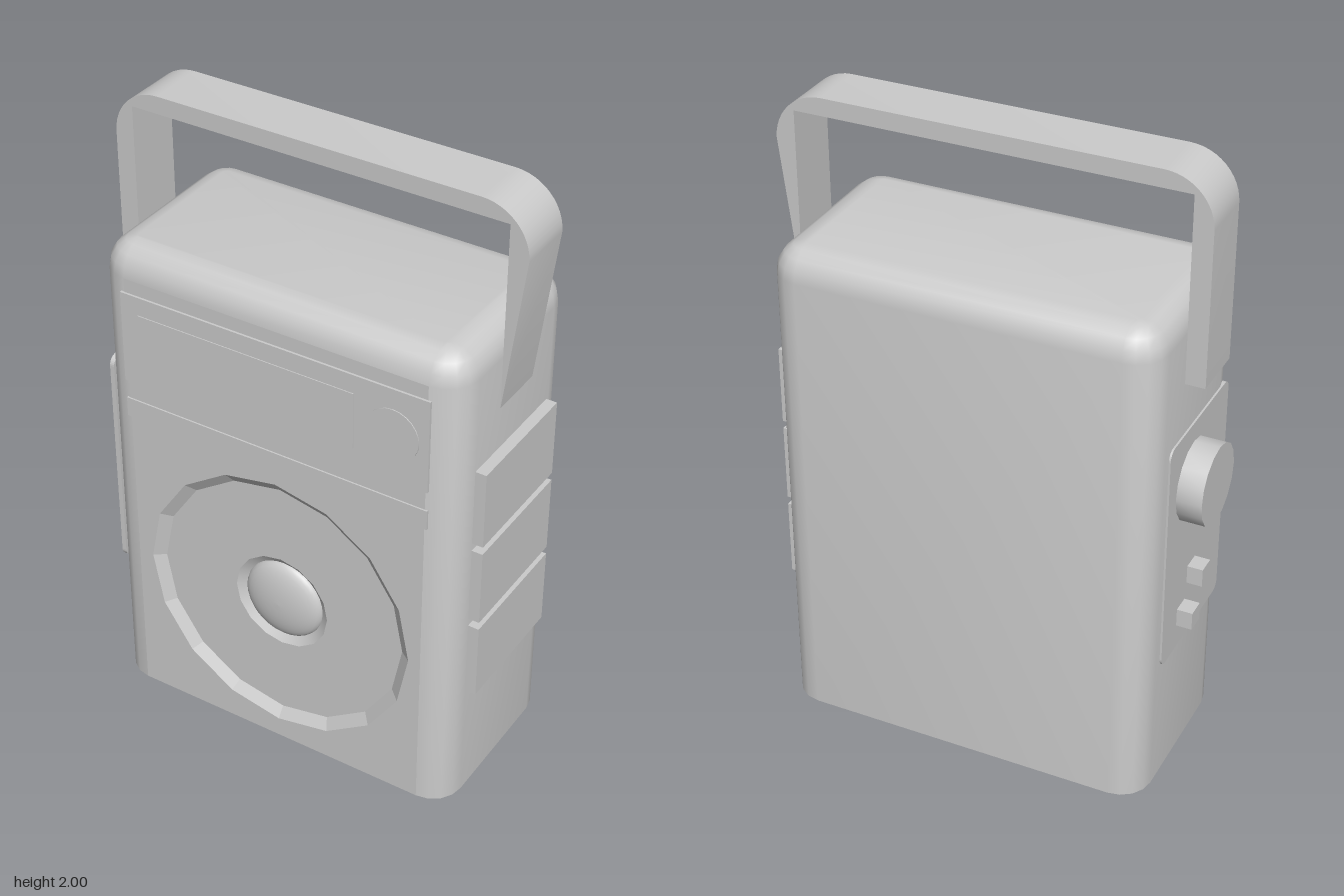
import * as THREE from 'three';
import { toCreasedNormals } from 'three/addons/utils/BufferGeometryUtils.js';

const CX = 0.005, CZ = -0.008;        // body centre
const HX = 0.605, HZ = 0.312, R = 0.1; // body half sizes and corner radius
const SHOULDER = 1.52, FRONT = CZ + HZ;
const mat = new THREE.MeshStandardMaterial({ color: 0xcccccc, side: THREE.DoubleSide });
const flat = new THREE.MeshStandardMaterial({ color: 0xcccccc, side: THREE.DoubleSide, flatShading: true });

export function createModel() {
  const model = new THREE.Group();
  const add = (name, geometry, x = 0, y = 0, z = 0, material = mat) => {
    const mesh = new THREE.Mesh(geometry, material);
    mesh.name = name;
    mesh.position.set(x, y, z);
    model.add(mesh);
    return mesh;
  };
  // box given by its limits
  const box = (name, x0, x1, y0, y1, z0, z1) =>
    add(name, new THREE.BoxGeometry(x1 - x0, y1 - y0, z1 - z0), (x0 + x1) / 2, (y0 + y1) / 2, (z0 + z1) / 2);

  // rounded rectangle seen from above, starting at the front left corner
  const outline = (inset) => {
    const pts = [], steps = 4, r = R - inset;
    [[1, 1], [1, -1], [-1, -1], [-1, 1]].forEach(([sx, sz], c) => {
      for (let i = 0; i <= steps; i++) {
        const t = (c + i / steps) * Math.PI / 2;
        pts.push([CX + sx * (HX - R) + r * Math.sin(t), CZ + sz * (HZ - R) + r * Math.cos(t)]);
      }
    });
    return pts;
  };

  // body shell: straight walls, rounded shoulder, flat top and bottom
  const rings = [[0, 0]];
  for (let i = 0; i <= 4; i++) {
    const a = i / 4 * Math.PI / 2;
    rings.push([SHOULDER + 0.093 * Math.sin(a), 0.085 * (1 - Math.cos(a))]);
  }
  const pos = [], idx = [], n = outline(0).length;
  for (const [y, inset] of rings) for (const [x, z] of outline(inset)) pos.push(x, y, z);
  for (let k = 0; k < rings.length - 1; k++) {
    for (let j = 0; j < n; j++) {
      if (k === 0 && j === n - 1) continue; // the front panel closes this side
      const a = k * n + j, b = k * n + (j + 1) % n;
      idx.push(a, b, b + n, a, b + n, a + n);
    }
  }
  const top = (rings.length - 1) * n;
  for (let j = 1; j < n - 1; j++) {
    idx.push(top, top + j, top + j + 1);
    idx.push(0, j + 1, j);
  }
  const shell = new THREE.BufferGeometry();
  shell.setAttribute('position', new THREE.Float32BufferAttribute(pos, 3));
  shell.setIndex(idx);
  add('bodyShell', toCreasedNormals(shell, 0.7));

  // front panel with a hole for the speaker
  const SX = 0.01, SY = 0.528, SR = 0.46, SIDES = 16;
  const x0 = CX - HX + R, x1 = CX + HX - R;
  const panel = new THREE.Shape([[x0, 0], [x1, 0], [x1, SHOULDER], [x0, SHOULDER]].map(p => new THREE.Vector2(...p)));
  const hole = [];
  for (let i = 0; i < SIDES; i++) {
    const a = i / SIDES * Math.PI * 2;
    hole.push(new THREE.Vector2(SX + SR * Math.sin(a), SY + SR * Math.cos(a)));
  }
  panel.holes.push(new THREE.Path(hole));
  add('frontPanel', new THREE.ShapeGeometry(panel), 0, 0, FRONT);

  // speaker: faceted recess and a domed centre in its own groove
  const dish = (points, sides) =>
    new THREE.LatheGeometry(points.map(p => new THREE.Vector2(...p)), sides).rotateX(Math.PI / 2);
  add('speakerRecess', dish([[SR, 0], [0.425, -0.025], [0.163, -0.025]], SIDES), SX, SY, FRONT, flat);
  add('speakerGroove', dish([[0.165, -0.025], [0.135, -0.045]], 32), SX, SY, FRONT);
  const dome = [];
  for (let i = 0; i <= 8; i++) {
    const a = i / 8 * Math.PI / 2;
    dome.push([0.135 * Math.cos(a), -0.045 + 0.04 * Math.sin(a)]);
  }
  add('speakerDome', dish(dome, 32), SX, SY, FRONT);

  // tuner plate, display window, dial and trim strip
  box('tunerPlate', -0.51, 0.52, 1.17, 1.475, FRONT - 0.02, FRONT + 0.007);
  box('displayWindow', -0.45, 0.28, 1.23, 1.415, FRONT, FRONT + 0.01);
  add('tunerDial', new THREE.CylinderGeometry(0.085, 0.085, 0.01, 24).rotateX(Math.PI / 2), 0.405, 1.325, FRONT + 0.005);
  box('trimStrip', -0.51, 0.52, 1.04, 1.105, FRONT - 0.02, FRONT + 0.005);

  // three wide keys on the left side
  for (let i = 0; i < 3; i++) {
    const y = 0.405 + i * 0.278;
    box('sideKey', 0.59, 0.645, y, y + 0.252, -0.21, 0.205);
  }

  // control plate, knob and two small buttons on the right side
  const plate = new THREE.Shape();
  const pr = 0.03, w = 0.225, h = 0.38;
  plate.absarc(w - pr, h - pr, pr, 0, Math.PI / 2);
  plate.absarc(-w + pr, h - pr, pr, Math.PI / 2, Math.PI);
  plate.absarc(-w + pr, -h + pr, pr, Math.PI, Math.PI * 1.5);
  plate.absarc(w - pr, -h + pr, pr, Math.PI * 1.5, Math.PI * 2);
  const plateGeo = new THREE.ExtrudeGeometry(plate, { depth: 0.015, bevelEnabled: false, curveSegments: 4 });
  add('controlPlate', plateGeo.rotateY(-Math.PI / 2), -0.591, 0.805, 0.035);
  const knob = new THREE.CylinderGeometry(0.128, 0.128, 0.085, 16).rotateZ(Math.PI / 2);
  add('knob', toCreasedNormals(knob, 0.7), -0.6425, 0.993, -0.007);
  box('smallButton', -0.655, -0.6, 0.62, 0.68, -0.01, 0.05);
  box('smallButton', -0.655, -0.6, 0.508, 0.567, -0.08, -0.02);

  // carrying handle: rounded outside, square inside
  const hr = 0.15, hl = -0.663, hrt = 0.677, low = 1.36;
  const handle = new THREE.Shape();
  handle.moveTo(hrt, low);
  handle.absarc(hrt - hr, 2 - hr, hr, 0, Math.PI / 2);
  handle.absarc(hl + hr, 2 - hr, hr, Math.PI / 2, Math.PI);
  handle.lineTo(hl, low);
  handle.lineTo(-0.602, low);
  handle.lineTo(-0.602, 1.945);
  handle.lineTo(0.616, 1.945);
  handle.lineTo(0.616, low);
  const handleGeo = new THREE.ExtrudeGeometry(handle, { depth: 0.185, bevelEnabled: false, curveSegments: 6 });
  add('handle', toCreasedNormals(handleGeo, 0.6), 0, 0, -0.097);

  return model;
}
